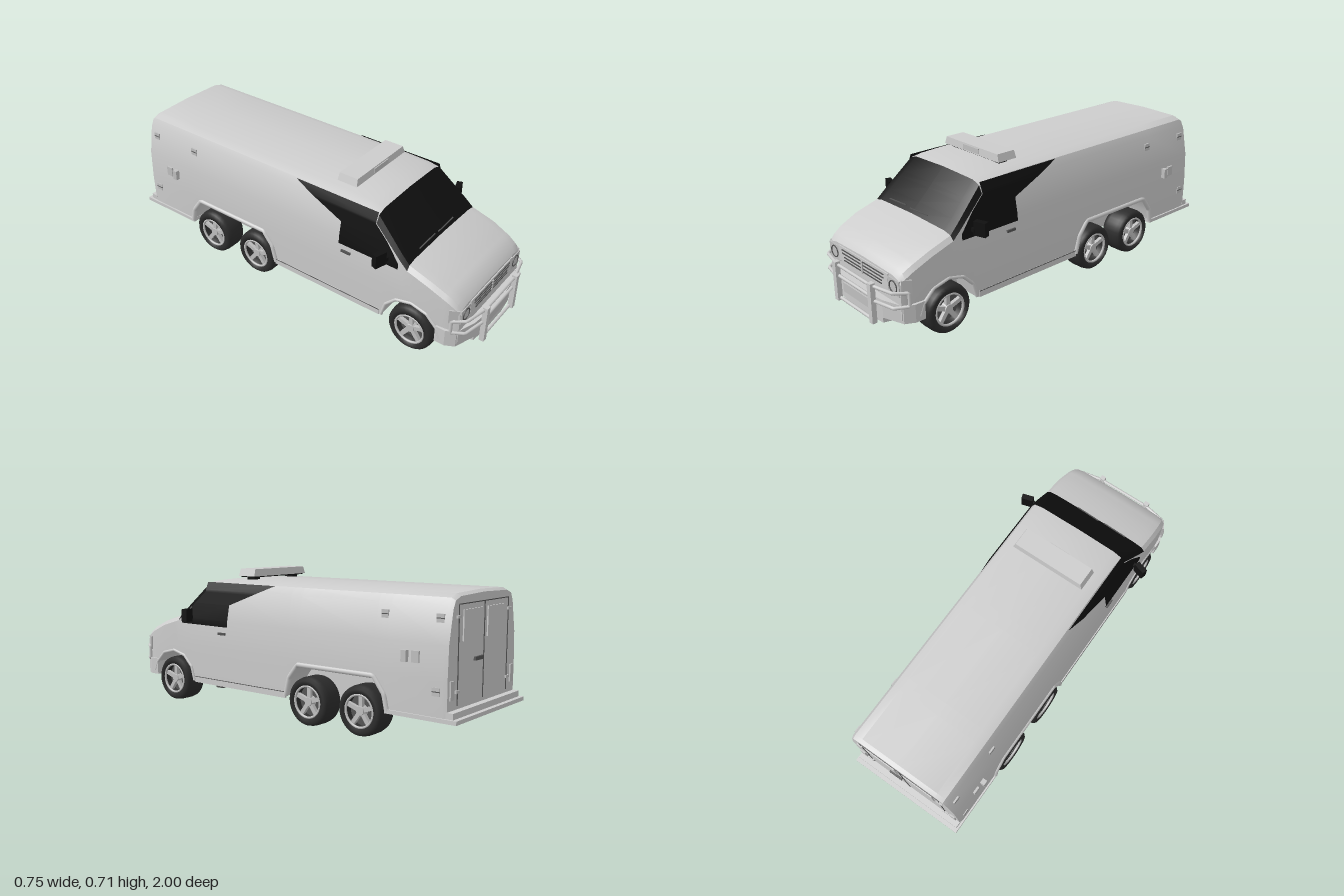
import * as THREE from 'three';
import { toCreasedNormals } from 'three/addons/utils/BufferGeometryUtils.js';

const mat = (name, color, side = THREE.FrontSide) => {
  const m = new THREE.MeshStandardMaterial({ color, side });
  m.name = name;
  return m;
};

// piecewise-linear lookup in [[key, value], ...]
function look(table, k) {
  if (k <= table[0][0]) return table[0][1];
  for (let i = 1; i < table.length; i++) {
    const [a, va] = table[i - 1], [b, vb] = table[i];
    if (k <= b) return va + (vb - va) * (k - a) / (b - a);
  }
  return table[table.length - 1][1];
}

// body rules: half width by height; lower edge, roof line, taper and shoulder drop by z
const WIDTH = [[0.12, 0.302], [0.3, 0.304], [0.45, 0.298], [0.6, 0.268], [0.64, 0.25]];
const LOWER = [[-0.95, 0.14], [-0.655, 0.13], [-0.64, 0.2], [-0.59, 0.275], [-0.16, 0.275], [-0.11, 0.21], [-0.095, 0.13],
  [0.545, 0.12], [0.565, 0.19], [0.62, 0.245], [0.7, 0.265], [0.78, 0.245], [0.835, 0.19], [0.855, 0.14]];
const ROOF = [[-0.95, 0.642], [-0.93, 0.653], [0.3, 0.653], [0.42, 0.648], [0.48, 0.638], [0.665, 0.46],
  [0.78, 0.425], [0.87, 0.385], [0.91, 0.36], [0.93, 0.335]];
const TAPER = [[-0.95, 0.985], [-0.93, 1], [0.78, 1], [0.87, 0.975], [0.91, 0.95], [0.93, 0.92]];
const DROP = [[0.48, 0.05], [0.665, 0.03]];

function bodySection(z) {
  const yb = look(LOWER, z), t = look(ROOF, z), d = look(DROP, z), w = look(TAPER, z);
  const half = [[0, yb]];
  for (const y of [yb, 0.3, 0.45, 0.6, t - d]) {
    const yy = Math.min(Math.max(y, yb), t - d);
    half.push([look(WIDTH, yy) * w, yy]);
  }
  const xs = look(WIDTH, t - d) * w;
  half.push([xs - 0.018, t - d * 0.3], [xs - 0.06, t], [0, t + 0.006]);
  return [...half, ...half.slice(1, -1).reverse().map(([x, y]) => [-x, y])];
}

function bodyGeometries() {
  const zs = [...new Set([...LOWER, ...ROOF, ...TAPER].map(e => e[0]))].sort((a, b) => a - b);
  const pos = [], panel = [], glass = [], n = 16;
  zs.forEach(z => bodySection(z).forEach(([x, y]) => pos.push(x, y, z)));
  for (let i = 0; i < zs.length - 1; i++) for (let j = 0; j < n; j++) {
    const k = (j + 1) % n, a = i * n + j, b = i * n + k, c = b + n, d = a + n;
    const screen = zs[i] >= 0.48 && zs[i] < 0.66 && j >= 5 && j <= 10;
    (screen ? glass : panel).push(a, b, c, a, c, d);
  }
  const last = (zs.length - 1) * n;
  for (let j = 1; j < n - 1; j++) panel.push(0, j + 1, j, last, last + j, last + j + 1);
  return [panel, glass].map(index => {
    const g = new THREE.BufferGeometry();
    g.setAttribute('position', new THREE.Float32BufferAttribute(pos, 3));
    g.setIndex(index);
    return toCreasedNormals(g, 0.5);
  });
}

// cab side window, following the body side
function sideWindow(s) {
  const pos = [], idx = [], rows = [0.42, 0.45, 0.53, 0.588, 0.6, 0.638];
  rows.forEach((y, i) => {
    const front = Math.min(0.62, 0.48 + Math.max(0, 0.588 - y) * 1.16);
    const back = y <= 0.53 ? 0.3 : 0.3 - (y - 0.53) * 2.6;
    const x = s * (look(WIDTH, y) + 0.004);
    pos.push(x, y, front, x, y, back);
    if (i) { const a = 2 * i - 2; idx.push(a, a + 1, a + 3, a, a + 3, a + 2); }
  });
  const g = new THREE.BufferGeometry();
  g.setAttribute('position', new THREE.Float32BufferAttribute(pos, 3));
  g.setIndex(s > 0 ? idx : idx.reverse());
  g.computeVertexNormals();
  return g;
}

export function createModel() {
  const paint = mat('body grey', 0xcccccc), black = mat('glass black', 0x101010, THREE.DoubleSide);
  const rubber = mat('tyre rubber', 0x2c2c2c), metal = mat('rim metal', 0xc0c0c0), dark = mat('dark trim', 0x555555);
  const root = new THREE.Group();
  const add = (name, geo, m, x = 0, y = 0, z = 0, parent = root) => {
    const mesh = new THREE.Mesh(geo, m);
    mesh.name = name;
    mesh.position.set(x, y, z);
    parent.add(mesh);
    return mesh;
  };
  const box = (name, m, w, h, d, x, y, z, parent) => add(name, new THREE.BoxGeometry(w, h, d), m, x, y, z, parent);
  const tube = (name, m, pts, r, closed = false) => {
    const path = new THREE.CurvePath(), v = pts.map(p => new THREE.Vector3(...p));
    for (let i = 1; i < v.length; i++) path.add(new THREE.LineCurve3(v[i - 1], v[i]));
    if (closed) path.add(new THREE.LineCurve3(v[v.length - 1], v[0]));
    return add(name, new THREE.TubeGeometry(path, pts.length * 8, r, 8, closed), m);
  };
  // plan outline (x, z) extruded from y0 upward
  const slab = (name, m, outline, y0, h) => {
    const shape = new THREE.Shape(outline.map(([x, z]) => new THREE.Vector2(x, -z)));
    const g = new THREE.ExtrudeGeometry(shape, { depth: h, bevelEnabled: false });
    return add(name, g.rotateX(-Math.PI / 2), m, 0, y0, 0);
  };
  const mirrored = half => [...half, ...half.map(([x, z]) => [-x, z]).reverse()];

  // body shell, glass and inner wheel wells
  const [panel, screen] = bodyGeometries();
  add('body', panel, paint);
  add('windscreen', screen, black);
  box('rearWheelWell', paint, 0.34, 0.17, 0.58, 0, 0.215, -0.375);
  box('frontWheelWell', paint, 0.34, 0.15, 0.33, 0, 0.205, 0.7);

  // front bumper, lower panel and rear step
  slab('frontBumper', paint, mirrored([[0.308, 0.83], [0.308, 0.88], [0.285, 0.925], [0.18, 0.96], [0.08, 0.97]]), 0.125, 0.085);
  slab('lowerValance', paint, mirrored([[0.2, 0.85], [0.17, 0.955], [0.08, 0.965]]), 0.095, 0.03);
  slab('rearStep', paint, mirrored([[0.31, -1], [0.31, -0.65]]), 0.13, 0.018);
  box('rearBumper', paint, 0.6, 0.03, 0.035, 0, 0.16, -0.962);
  box('bumperPlate', metal, 0.22, 0.045, 0.006, 0, 0.165, 0.972);

  // grille slots
  box('grilleFrame', paint, 0.39, 0.075, 0.012, 0, 0.292, 0.929);
  for (const [w, y] of [[0.33, 0.316], [0.33, 0.3], [0.3, 0.283], [0.3, 0.268]]) box('grilleSlot', dark, w, 0.005, 0.004, 0, y, 0.936);
  box('grilleBadgeBar', metal, 0.01, 0.06, 0.006, 0, 0.29, 0.937);

  // bull bar
  for (const y of [0.105, 0.215, 0.268]) tube('bullBarRail', paint, [[-0.14, y, 0.98], [0.14, y, 0.98]], 0.008);
  for (const s of [-1, 1]) {
    box('bullBarPost', paint, 0.026, 0.19, 0.024, s * 0.14, 0.19, 0.985);
    tube('headlightGuard', paint, [[s * 0.14, 0.27, 0.98], [s * 0.26, 0.27, 0.955], [s * 0.298, 0.268, 0.9],
      [s * 0.298, 0.205, 0.9], [s * 0.26, 0.2, 0.955], [s * 0.14, 0.2, 0.98]], 0.008, true);
    // lamps and corner indicators
    box('headlight', metal, 0.085, 0.072, 0.012, s * 0.232, 0.285, 0.928);
    const lamp = box('indicator', metal, 0.008, 0.07, 0.045, s * 0.288, 0.29, 0.905);
    lamp.rotation.y = s * -0.5;
    add('headlightRing', new THREE.TorusGeometry(0.027, 0.003, 6, 20), dark, s * 0.232, 0.285, 0.935);

    // cab side window and mirror
    add('sideWindow', sideWindow(s), black);
    box('mirrorArm', black, 0.04, 0.018, 0.018, s * 0.305, 0.455, 0.56);
    const mirror = box('mirror', black, 0.06, 0.066, 0.028, s * 0.343, 0.468, 0.548);
    mirror.rotation.y = s * 0.3;
    // wipers
    const wiper = box('wiper', dark, 0.13, 0.004, 0.005, s * 0.08 - 0.04, 0.483, 0.655);
    wiper.rotation.z = 0.05;

    // wheel arch trims and sill
    const X = s * 0.302;
    tube('rearArchTrim', paint, [[X, 0.13, -0.085], [X, 0.22, -0.108], [X, 0.285, -0.16], [X, 0.285, -0.59],
      [X, 0.21, -0.645], [X, 0.14, -0.66]], 0.012);
    tube('frontArchTrim', paint, LOWER.slice(7, 14).map(([z, y]) => [X, y + 0.004, z]), 0.008);
    box('sill', paint, 0.012, 0.028, 0.62, s * 0.302, 0.132, 0.225);
    box('sillSeam', dark, 0.002, 0.003, 0.62, s * 0.309, 0.148, 0.225);

    // side fittings
    box('doorHandle', dark, 0.008, 0.012, 0.05, s * 0.304, 0.385, 0.34);
    box('sideHandle', metal, 0.025, 0.05, 0.025, s * 0.31, 0.39, -0.75);
    box('sideLatch', metal, 0.012, 0.05, 0.035, s * 0.304, 0.39, -0.8);
    for (const [z, y] of [[-0.63, 0.555], [-0.9, 0.555], [-0.9, 0.255]]) {
      box('markerLamp', metal, 0.008, 0.036, 0.036, s * look(WIDTH, y), y, z);
      box('markerSeam', dark, 0.01, 0.004, 0.036, s * look(WIDTH, y), y, z);
    }
    // rear lamps, door seams, hinges
    box('rearLamp', metal, 0.03, 0.08, 0.01, s * 0.268, 0.26, -0.952);
    box('rearDoorSeam', dark, 0.004, 0.42, 0.004, s * 0.22, 0.4, -0.951);
    box('rearDoorPanel', paint, 0.16, 0.13, 0.008, s * 0.105, 0.52, -0.952);
    for (const y of [0.25, 0.56]) box('hinge', metal, 0.03, 0.012, 0.01, s * 0.225, y, -0.953);
    box('lightBarFoot', black, 0.04, 0.025, 0.05, s * 0.145, 0.665, 0.265);

    // chassis rail, front arm
    box('chassisRail', metal, 0.025, 0.03, 1.5, s * 0.1, 0.12, 0.02);
    box('suspensionArm', metal, 0.1, 0.02, 0.04, s * 0.15, 0.1, 0.7);
    box('springMount', metal, 0.025, 0.06, 0.04, s * 0.125, 0.08, 0.73);
    box('stepBracket', dark, 0.03, 0.02, 0.045, s * 0.24, 0.105, 0.41);
  }
  box('rearCentreSeam', dark, 0.004, 0.42, 0.004, 0, 0.4, -0.951);
  box('rearTopSeam', dark, 0.44, 0.004, 0.004, 0, 0.61, -0.951);
  box('rearHandle', dark, 0.07, 0.016, 0.012, 0.05, 0.37, -0.955);

  // roof light bar: flared box
  const bar = new THREE.CylinderGeometry(0.94, 1, 1, 4, 1).rotateY(Math.PI / 4);
  add('lightBar', toCreasedNormals(bar.scale(0.277, 0.036, 0.075), 0.3), paint, 0, 0.69, 0.265);
  box('lightBarBase', black, 0.37, 0.008, 0.09, 0, 0.671, 0.265);
  box('lightBarLens', metal, 0.11, 0.024, 0.006, 0, 0.69, 0.317);

  // wheels: tyre, rim barrel, hub and five spokes, outer face along +x
  const tyreProfile = [[0.078, -0.055], [0.1, -0.062], [0.112, -0.05], [0.116, -0.03], [0.116, 0.03], [0.112, 0.05],
    [0.1, 0.062], [0.078, 0.056], [0.074, 0.01]].map(([x, y]) => new THREE.Vector2(x, y));
  const tyreGeo = new THREE.LatheGeometry(tyreProfile, 32).rotateZ(-Math.PI / 2);
  const discGeo = new THREE.CylinderGeometry(0.078, 0.078, 0.06, 28).rotateZ(-Math.PI / 2);
  const ringGeo = new THREE.TorusGeometry(0.074, 0.006, 8, 28).rotateY(Math.PI / 2);
  const hubGeo = new THREE.CylinderGeometry(0.02, 0.026, 0.03, 14).rotateZ(-Math.PI / 2);
  for (const s of [-1, 1]) for (const z of [0.7, -0.22, -0.515]) {
    const wheel = new THREE.Group();
    wheel.name = 'wheel';
    wheel.position.set(s * 0.25, 0.117, z);
    wheel.rotation.y = s > 0 ? 0 : Math.PI;
    add('tyre', tyreGeo, rubber, 0, 0, 0, wheel);
    add('rimBack', discGeo, dark, -0.015, 0, 0, wheel);
    add('rimRing', ringGeo, metal, 0.053, 0, 0, wheel);
    add('hub', hubGeo, metal, 0.035, 0, 0, wheel);
    for (let i = 0; i < 5; i++) {
      const a = i * Math.PI * 0.4;
      const spoke = box('spoke', metal, 0.018, 0.06, 0.02, 0.036, Math.cos(a) * 0.046, Math.sin(a) * 0.046, wheel);
      spoke.rotation.x = a;
    }
    root.add(wheel);
  }

  // axles, differentials, drive shaft and exhaust
  for (const z of [0.7, -0.22, -0.515]) {
    add('axle', new THREE.CylinderGeometry(0.016, 0.016, 0.42, 12).rotateZ(Math.PI / 2), metal, 0, 0.11, z);
    add('differential', new THREE.SphereGeometry(0.038, 14, 10), metal, 0, 0.112, z);
  }
  add('driveShaft', new THREE.CylinderGeometry(0.01, 0.01, 1.2, 10).rotateX(Math.PI / 2), metal, 0, 0.115, 0.09);
  tube('exhaust', metal, [[-0.06, 0.115, 0.6], [-0.06, 0.115, 0.1], [-0.14, 0.115, -0.05], [-0.14, 0.12, -0.65]], 0.012);
  return root;
}
